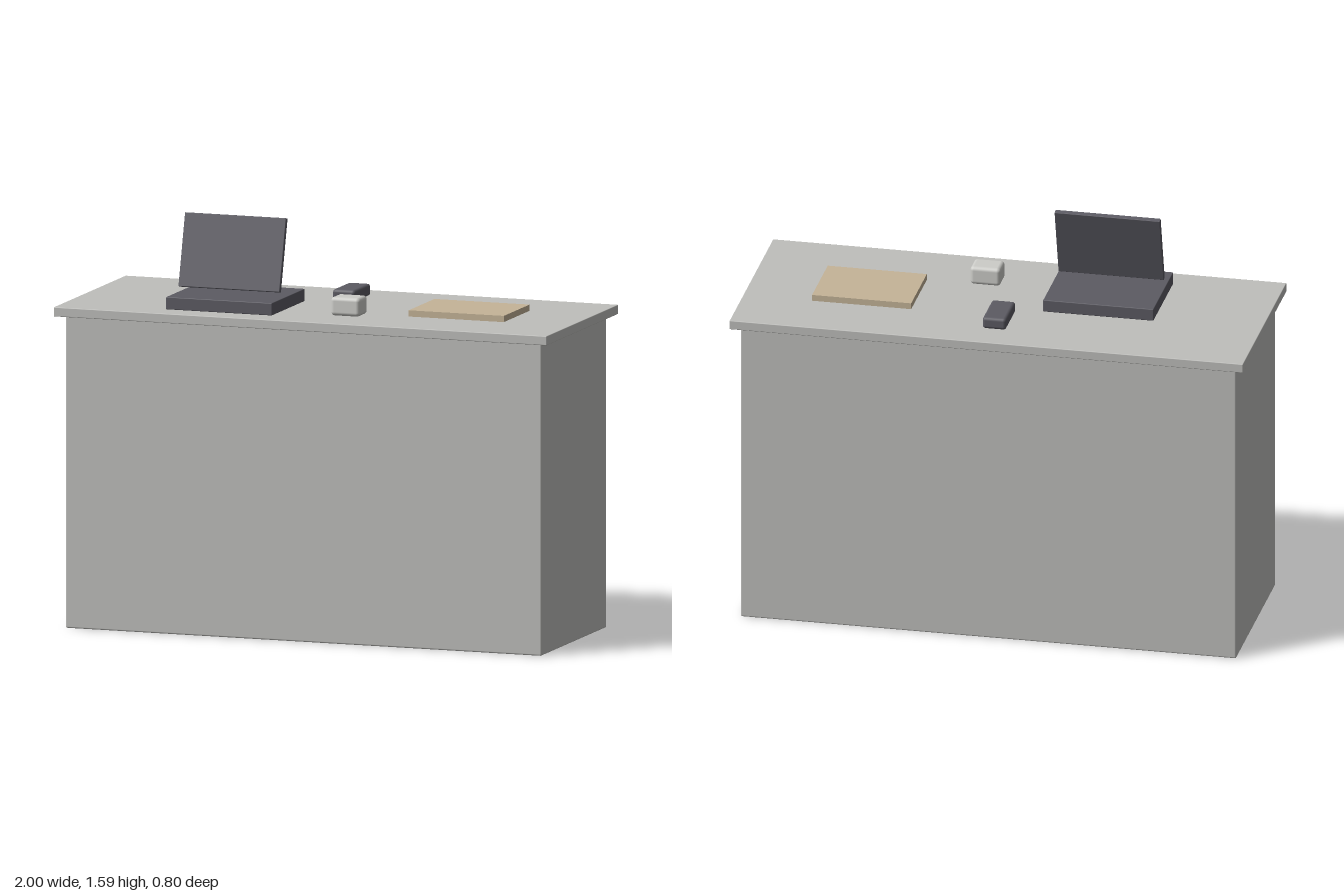
import * as THREE from 'three';
import { RoundedBoxGeometry } from 'three/addons/geometries/RoundedBoxGeometry.js';

const material = (name, color) => {
  const m = new THREE.MeshStandardMaterial({ color });
  m.name = name;
  return m;
};

export function createModel() {
  const stone = material('light grey stone', 0xbfbfbc);
  const dark = material('dark slate', 0x5c5b63);
  const tan = material('tan paper', 0xc5b498);
  const pale = material('pale ceramic', 0xcdcdc9);

  const group = new THREE.Group();
  group.name = 'counter';

  // Box from its size and centre, with an optional edge radius
  const box = (name, mat, [w, h, d], [x, y, z], radius = 0, segments = 2) => {
    const geometry = radius
      ? new RoundedBoxGeometry(w, h, d, segments, radius)
      : new THREE.BoxGeometry(w, h, d);
    const mesh = new THREE.Mesh(geometry, mat);
    mesh.name = name;
    mesh.position.set(x, y, z);
    group.add(mesh);
    return mesh;
  };

  // Counter body and overhanging top
  box('counterBody', stone, [1.93, 1.206, 0.72], [0, 0.603, 0], 0.006);
  box('counterTop', stone, [2, 0.036, 0.796], [0, 1.224, 0], 0.003);

  // Register: flat base with a screen leaning back above it
  box('registerBase', dark, [0.43, 0.048, 0.364], [-0.365, 1.266, 0.118], 0.003);
  const screen = box('registerScreen', dark, [0.41, 0.284, 0.02], [-0.365, 1.45, 0.144], 0.002);
  screen.rotation.x = -THREE.MathUtils.degToRad(15);

  // Small items on the counter
  box('cardReader', dark, [0.092, 0.046, 0.18], [-0.004, 1.266, -0.184], 0.012);
  box('smallBox', pale, [0.118, 0.072, 0.094], [0.118, 1.278, 0.178], 0.015, 3);
  box('paperPad', tan, [0.386, 0.024, 0.286], [0.539, 1.254, -0.003]);

  return group;
}
